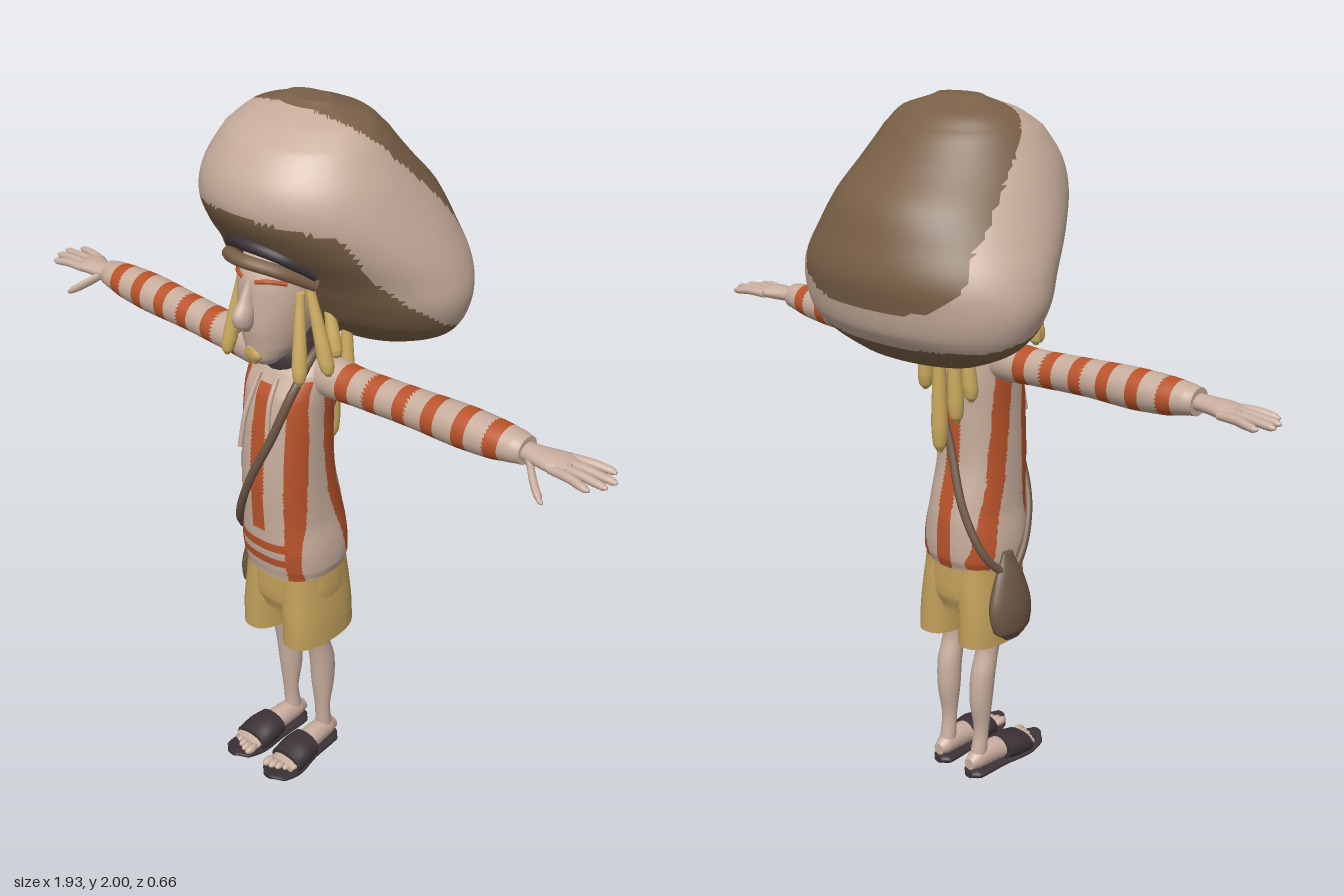
import * as THREE from 'three';

const mat = (name, color, side = THREE.FrontSide) => {
  const m = new THREE.MeshStandardMaterial({ color, side });
  m.name = name;
  return m;
};

// Piecewise-linear lookup in a short table of [input, output] pairs
const lookup = (table, v) => {
  for (let i = 1; i < table.length; i++) {
    const [a, fa] = table[i - 1], [b, fb] = table[i];
    if (v <= b) return fa + (fb - fa) * Math.max(0, (v - a) / (b - a));
  }
  return table[table.length - 1][1];
};

// Where a ring point lies for each loft axis (t along axis, p and q across it)
const place = {
  y: (t, c1, c2, u, v) => [c1 + u, t, c2 + v],
  x: (t, c1, c2, u, v) => [t, c1 + v, c2 + u],
  z: (t, c1, c2, u, v) => [c1 + v, c2 + u, t],
};

// Smooth loft through rows [t, centre1, centre2, radius1, radius2], t ascending.
// rule(x, y, z) picks the material index of each face.
function loft(rows, { axis = 'y', sub = 5, segs = 24, power = 1, caps = true, rule = null } = {}) {
  const cr = (a, b, c, d, t) => 0.5 * (2 * b + (c - a) * t + (2 * a - 5 * b + 4 * c - d) * t * t + (3 * b - a - 3 * c + d) * t * t * t);
  const n = rows.length, rings = [];
  for (let i = 0; i < n - 1; i++)
    for (let s = 0; s < sub; s++) {
      const at = k => rows[Math.min(n - 1, Math.max(0, k))], t = s / sub;
      rings.push(rows[i].map((_, k) => k === 0
        ? rows[i][0] + (rows[i + 1][0] - rows[i][0]) * t
        : cr(at(i - 1)[k], at(i)[k], at(i + 1)[k], at(i + 2)[k], t)));
    }
  const last = rows[n - 1], first = rows[0];
  rings.push(last);
  if (caps) {
    rings.unshift([...first.slice(0, 3), 0, 0], first);
    rings.push(last, [...last.slice(0, 3), 0, 0]);
  }
  const pos = [], pw = v => Math.sign(v) * Math.abs(v) ** power;
  for (const [t, c1, c2, r1, r2] of rings)
    for (let j = 0; j < segs; j++) {
      const a = j / segs * Math.PI * 2, c = pw(Math.cos(a)), s = pw(Math.sin(a));
      pos.push(...(axis === 'y' ? place.y(t, c1, c2, r1 * c, r2 * s)
        : axis === 'x' ? place.x(t, c1, c2, r2 * c, r1 * s) : place.z(t, c1, c2, r2 * c, r1 * s)));
    }
  const lists = [[], []];
  const tri = (...f) => {
    const m = k => (pos[f[0] * 3 + k] + pos[f[1] * 3 + k] + pos[f[2] * 3 + k]) / 3;
    lists[rule && rule(m(0), m(1), m(2)) ? 1 : 0].push(...f);
  };
  for (let i = 0; i < rings.length - 1; i++)
    for (let j = 0; j < segs; j++) {
      const a = i * segs + j, b = i * segs + (j + 1) % segs;
      tri(a, a + segs, b);
      tri(b, a + segs, b + segs);
    }
  const g = new THREE.BufferGeometry();
  g.setAttribute('position', new THREE.Float32BufferAttribute(pos, 3));
  g.setIndex([...lists[0], ...lists[1]]);
  if (rule) {
    g.addGroup(0, lists[0].length, 0);
    g.addGroup(lists[0].length, lists[1].length, 1);
  }
  g.computeVertexNormals();
  return g;
}

// Mirrored copy across x with its corner order turned back outward
function mirrored(geo) {
  const g = geo.clone().scale(-1, 1, 1), ix = g.index.array;
  for (let i = 0; i < ix.length; i += 3) [ix[i + 1], ix[i + 2]] = [ix[i + 2], ix[i + 1]];
  g.computeVertexNormals();
  return g;
}

const tube = (pts, r, closed = false, n = 40) => new THREE.TubeGeometry(
  new THREE.CatmullRomCurve3(pts.map(p => new THREE.Vector3(...p)), closed), n, r, 10, closed);

export function createModel() {
  const root = new THREE.Group();
  const skin = mat('skin', 0xc9ae9f), cream = mat('cream fabric', 0xc6ac9b), orange = mat('orange fabric', 0xb9532a);
  const brown = mat('hat brown', 0x7a6047), dark = mat('dark leather', 0x3b3236), leather = mat('bag leather', 0x6e5845);
  const shorts = mat('shorts yellow', 0xc2a05a, THREE.DoubleSide), hair = mat('hair yellow', 0xccab5e);
  const add = (name, geo, m) => {
    const mesh = new THREE.Mesh(geo, m);
    mesh.name = name;
    root.add(mesh);
  };
  const pair = (name, geo, m) => {
    add(name + 'Left', geo, m);
    add(name + 'Right', mirrored(geo), m);
  };

  // Big leaning hat: brown underside and brown back patch on a light body
  const under = [[-.35, 1.4], [-.18, 1.42], [-.07, 1.455], [.03, 1.52], [.14, 1.63], [.2, 1.735], [.33, 1.775]];
  const patch = [[1.48, -.36], [1.52, -.29], [1.6, -.235], [1.67, -.2], [1.78, -.1], [1.86, -.02], [2, .12]];
  add('hat', loft([
    [1.32, 0, -.1, .03, .02], [1.35, 0, -.11, .2, .09], [1.4, 0, -.11, .31, .15], [1.45, 0, -.098, .357, .203],
    [1.52, 0, -.085, .38, .235], [1.59, 0, -.068, .372, .262], [1.67, 0, -.025, .345, .285],
    [1.76, 0, .02, .305, .295], [1.84, 0, .055, .265, .255], [1.92, 0, .062, .215, .193],
    [1.965, 0, .05, .165, .13], [2, 0, .05, .07, .04],
  ], { sub: 6, segs: 110, rule: (x, y, z) => y < lookup(under, z) || z < lookup(patch, y) }), [cream, brown]);
  add('hatBand', tube([[-.14, 1.615, .18], [-.08, 1.665, .245], [0, 1.68, .268], [.08, 1.665, .245], [.14, 1.615, .18]], .02), dark);
  add('hatPeak', tube([[-.135, 1.585, .18], [-.08, 1.632, .262], [0, 1.648, .298], [.08, 1.632, .262], [.135, 1.585, .18]], .018), brown);

  // Head
  add('head', loft([
    [1.345, 0, .215, .025, .03], [1.365, 0, .212, .045, .055], [1.4, 0, .19, .068, .085], [1.46, 0, .17, .088, .115],
    [1.53, 0, .163, .1, .12], [1.6, 0, .15, .1, .125], [1.66, 0, .13, .09, .11],
  ], { segs: 32 }), skin);
  add('nose', loft([
    [1.455, 0, .285, .008, .012], [1.475, 0, .296, .021, .028], [1.505, 0, .297, .024, .034],
    [1.54, 0, .284, .016, .024], [1.59, 0, .272, .01, .012],
  ]), skin);
  add('neck', loft([[1.25, 0, .11, .045, .045], [1.43, 0, .13, .045, .045]]), skin);
  pair('eyebrow', tube([[.02, 1.588, .274], [.05, 1.594, .262], [.083, 1.586, .226]], .006, false, 10), orange);
  add('goatee', loft([[1.355, 0, .262, .01, .01], [1.38, 0, .268, .028, .014], [1.405, 0, .276, .012, .007]]), hair);

  // Dreadlocks: thin at the hat, thick near the tip
  const lock = ([x0, y0, z0], [x1, y1, z1], r) => {
    const row = (t, k) => [y0 + (y1 - y0) * t, x0 + (x1 - x0) * t, z0 + (z1 - z0) * t, r * k, r * k];
    return loft([row(0, .3), row(.06, .8), row(.2, 1), row(.6, .8), row(1, .6)], { segs: 12 });
  };
  pair('outerLock', lock([.168, 1.34, .17], [.105, 1.57, .17], .021), hair);
  pair('frontLock', lock([.128, 1.325, .235], [.1, 1.56, .2], .02), hair);
  pair('sideLock', lock([.14, 1.36, .11], [.1, 1.52, .1], .02), hair);
  pair('rearSideLock', lock([.085, 1.2, .005], [.07, 1.42, -.01], .022), hair);
  add('longBackLock', lock([.025, 1.03, -.002], [.02, 1.42, -.01], .024), hair);
  add('shortBackLock', lock([-.035, 1.13, 0], [-.03, 1.42, -.01], .023), hair);

  // Striped top with front pocket bands
  const sideStripe = [[.7, .02], [.8, .04], [.95, .085], [1.1, .1], [1.3, .105]];
  add('shirt', loft([
    [.69, 0, .12, .132, .124], [.72, 0, .118, .14, .132], [.78, 0, .122, .137, .138], [.86, 0, .128, .122, .137],
    [1, 0, .145, .115, .124], [1.15, 0, .142, .115, .116], [1.25, 0, .132, .12, .106],
    [1.31, 0, .118, .12, .085], [1.345, 0, .11, .1, .065], [1.37, 0, .11, .065, .05],
  ], {
    sub: 12, segs: 140, power: .85, rule: (x, y, z) => {
      const ax = Math.abs(x);
      if (z > .16 && ax > .076 && ax < .111 && y < 1.3) return true;
      if (z > .16 && ax < .023 && y > .85 && y < 1.28) return true;
      if (z > .16 && ax < .11 && ((y > .785 && y < .812) || (y > .737 && y < .762))) return true;
      if (z < .06 && ax < .024 && y < 1.32) return true;
      return ax > .07 && Math.abs(z - lookup(sideStripe, y)) < .028 && y < 1.27;
    },
  }), [cream, orange]);
  add('collar', loft([[1.3, 0, .115, .085, .085], [1.345, 0, .12, .085, .08], [1.39, 0, .12, .07, .068], [1.41, 0, .12, .06, .06]]), dark);
  add('cordLeft', tube([[.03, 1.3, .215], [.036, 1.24, .25], [.042, 1.17, .266]], .007), cream);
  add('cordRight', tube([[-.03, 1.3, .215], [-.036, 1.2, .264], [-.042, 1.1, .283]], .007), cream);

  // Sleeves and hands
  pair('sleeve', loft([
    [.08, 1.297, .11, .05, .05], [.14, 1.3, .11, .055, .054], [.22, 1.302, .11, .05, .052], [.4, 1.312, .11, .05, .052],
    [.55, 1.317, .108, .054, .055], [.65, 1.321, .108, .049, .052], [.71, 1.325, .108, .04, .045], [.735, 1.325, .108, .036, .038],
  ], { axis: 'x', sub: 16, segs: 28, rule: x => { const a = Math.abs(x); return a > .18 && a < .7 && (a - .18) % .092 < .04; } }), [cream, orange]);
  pair('palm', loft([
    [.72, 1.325, .108, .021, .026], [.77, 1.325, .108, .021, .034], [.82, 1.325, .103, .02, .046], [.855, 1.322, .1, .012, .045],
  ], { axis: 'x' }), skin);
  [[.064, .045, .94], [.09, .082, .965], [.115, .115, .96], [.138, .15, .935]].forEach(([z0, z1, tip], i) =>
    pair('finger' + (i + 1), loft([
      [.82, 1.323, z0, .012, .012], [.88, 1.325, (z0 + z1) / 2, .012, .012],
      [tip - .012, 1.32, z1, .01, .01], [tip, 1.319, z1, .004, .004],
    ], { axis: 'x', segs: 10 }), skin));
  pair('thumb', loft([
    [.75, 1.318, .125, .014, .014], [.79, 1.29, .158, .014, .014], [.825, 1.267, .18, .011, .011], [.838, 1.26, .186, .004, .004],
  ], { axis: 'x', segs: 10 }), skin);

  // Shorts
  add('shortsHips', loft([[.55, 0, .113, .09, .1], [.6, 0, .113, .132, .117], [.72, 0, .115, .128, .115]], { power: .85, segs: 40 }), shorts);
  pair('shortsLeg', loft([
    [.46, .076, .112, .064, .121], [.54, .074, .113, .065, .12], [.62, .066, .113, .066, .116], [.7, .06, .115, .066, .11],
  ], { power: .85, segs: 32, caps: false }), shorts);

  // Legs, feet and sandals
  pair('leg', loft([
    [.05, .062, .07, .024, .028], [.15, .064, .08, .024, .021], [.25, .064, .078, .033, .035],
    [.34, .066, .084, .035, .038], [.42, .066, .103, .034, .035], [.54, .068, .112, .046, .05],
  ]), skin);
  pair('foot', loft([
    [.03, .062, .05, .018, .018], [.06, .063, .058, .028, .032], [.14, .066, .058, .034, .035],
    [.21, .07, .05, .043, .026], [.27, .072, .045, .044, .015],
  ], { axis: 'z' }), skin);
  for (let i = 0; i < 5; i++) {
    const r = .013 - i * .0012;
    pair('toe' + (i + 1), new THREE.SphereGeometry(r, 10, 8).scale(1, 1, 1.8).translate(.037 + i * .0185, .048, .284 - i * i * .002), skin);
  }
  pair('sandalSole', loft([
    [.028, .062, .015, .016, .01], [.05, .062, .014, .036, .014], [.15, .066, .016, .04, .014], [.24, .072, .022, .054, .014],
    [.3, .074, .032, .046, .012], [.33, .074, .042, .016, .007],
  ], { axis: 'z' }), dark);
  pair('sandalStrap', loft([[.155, .068, .056, .049, .035], [.2, .07, .052, .055, .038], [.25, .072, .045, .054, .032]],
    { axis: 'z', power: .9 }), dark);

  // Shoulder bag and its strap across the body
  add('bag', loft([
    [.5, -.178, .08, .012, .03], [.53, -.175, .08, .03, .07], [.6, -.168, .08, .036, .08],
    [.68, -.158, .085, .025, .055], [.75, -.147, .09, .01, .02],
  ]), leather);
  add('bagStrap', tube([
    [.085, 1.37, .11], [.092, 1.29, .215], [.05, 1.15, .258], [-.02, 1, .272], [-.09, .85, .245], [-.145, .74, .16],
    [-.158, .69, .09], [-.135, .75, .015], [-.07, .88, -.008], [0, 1.05, .014], [.06, 1.2, .025], [.088, 1.32, .05],
  ], .012, true, 120), leather);

  return root;
}
